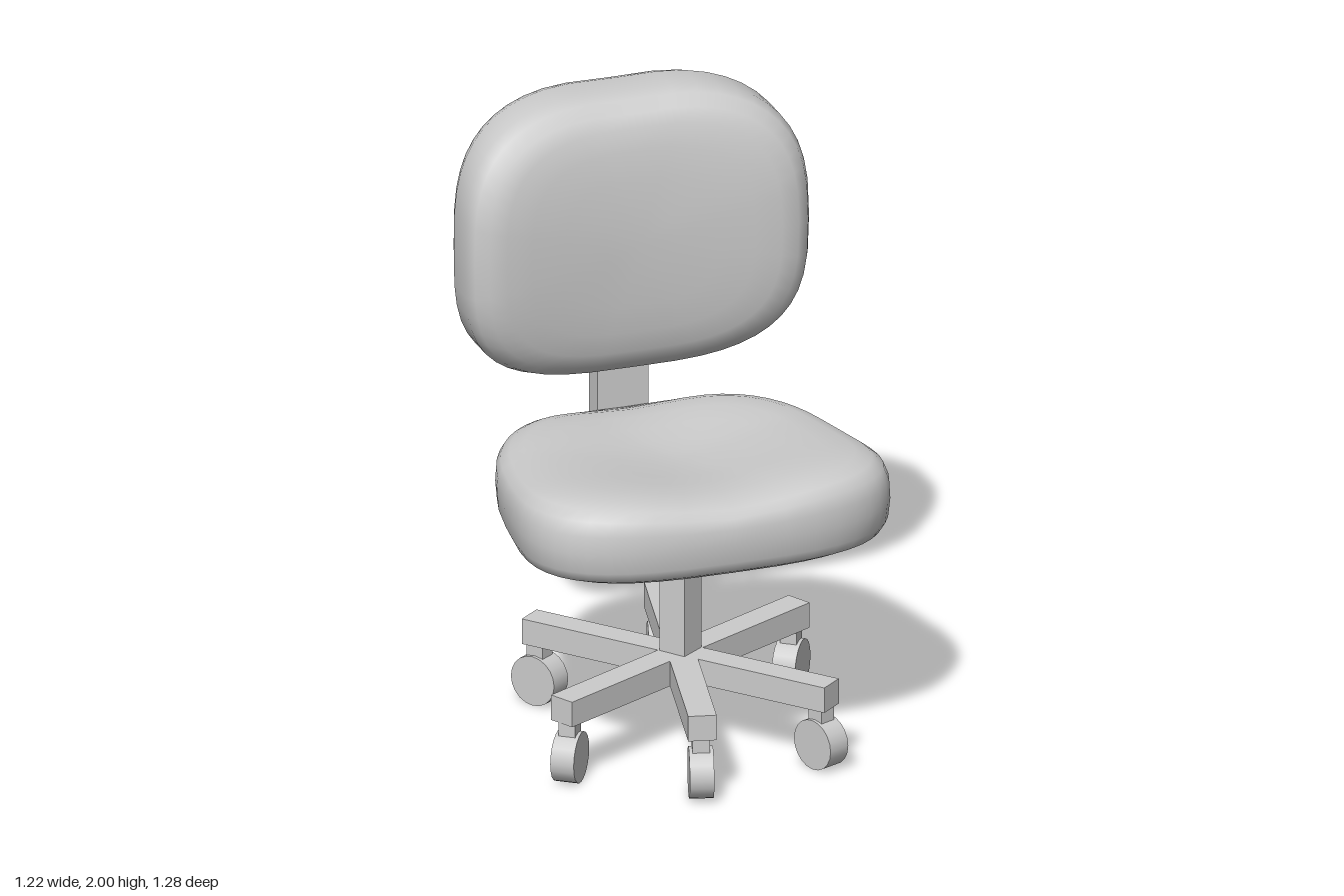
import * as THREE from 'three';

const material = new THREE.MeshStandardMaterial({ color: 0xcccccc });

function part(name, geometry, parent) {
  const mesh = new THREE.Mesh(geometry, material);
  mesh.name = name;
  parent.add(mesh);
  return mesh;
}

// Closed cushion: superellipse rings [scale, depth], capped by a point at each end.
// place(a, b, depth) maps a ring point (a, b in -1..1) to model space.
function cushion(rings, place, sides = 48, power = 3) {
  const pos = [], index = [];
  const curve = v => Math.sign(v) * Math.pow(Math.abs(v), 2 / power);
  for (const [s, d] of rings) {
    for (let j = 0; j < sides; j++) {
      const t = (j / sides) * Math.PI * 2;
      pos.push(...place(s * curve(Math.cos(t)), s * curve(Math.sin(t)), d));
    }
  }
  for (let i = 0; i < rings.length - 1; i++) {
    for (let j = 0; j < sides; j++) {
      const a = i * sides + j, b = i * sides + (j + 1) % sides;
      index.push(a, b, b + sides, a, b + sides, a + sides);
    }
  }
  const first = pos.length / 3, top = (rings.length - 1) * sides;
  pos.push(...place(0, 0, rings[0][1]), ...place(0, 0, rings[rings.length - 1][1]));
  for (let j = 0; j < sides; j++) {
    const k = (j + 1) % sides;
    index.push(first, k, j, first + 1, top + j, top + k);
  }
  const g = new THREE.BufferGeometry();
  g.setAttribute('position', new THREE.Float32BufferAttribute(pos, 3));
  g.setIndex(index);
  g.computeVertexNormals();
  return g;
}

// Seat: tapers to the rear, dished along the middle, underside rising at the back
function seatPoint(a, b, y) {
  const z = 0.055 - 0.527 * b;
  const x = a * (0.62 + 0.165 * (z - 0.25));
  const upper = THREE.MathUtils.smoothstep(y, 0.84, 1);
  const dish = 0.032 * Math.exp(-((x / 0.24) ** 2));
  const rearDrop = 0.036 * (1 - THREE.MathUtils.smoothstep(z, -0.1, 0.45));
  const rise = 0.04 * Math.min(1, Math.max(0, -z / 0.45)) ** 2;
  return [x, y - upper * (dish + rearDrop) + (1 - upper) * rise, z];
}

// Backrest: wraps forward at the sides, leans back at the top and bottom
function backPoint(a, b, d) {
  const bend = b > 0 ? 0.055 : 0.035;
  const x = 0.575 * a;
  const y = 1.531 + 0.471 * b - (b > 0.8 ? 0.01 * Math.exp(-((x / 0.15) ** 2)) : 0);
  return [x, y, -0.45 + 0.06 * a * a - bend * b * b + d];
}

export function createModel() {
  const chair = new THREE.Group();
  chair.name = 'officeChair';

  part('seat', cushion([
    [0.4, 0.73], [0.75, 0.73], [0.9, 0.732], [0.96, 0.75], [0.99, 0.785], [1, 0.85],
    [0.995, 0.91], [0.97, 0.955], [0.92, 0.982], [0.84, 0.998], [0.7, 1.003],
    [0.52, 1], [0.34, 0.995], [0.16, 0.993],
  ], seatPoint), chair);

  part('backrest', cushion([
    [0.2, -0.15], [0.45, -0.15], [0.65, -0.15], [0.8, -0.146], [0.9, -0.13], [0.97, -0.1], [1, -0.055],
    [1, 0.05], [0.97, 0.095], [0.9, 0.128], [0.8, 0.144], [0.65, 0.15], [0.45, 0.152], [0.2, 0.15],
  ], backPoint), chair);

  // Bent bar joining seat and backrest; profile drawn as (-z, y)
  const profile = new THREE.Shape([
    [0.3, 0.78], [0.47, 0.78], [0.52, 0.8], [0.55, 0.865], [0.55, 1.25],
    [0.47, 1.25], [0.47, 0.88], [0.455, 0.86], [0.3, 0.86],
  ].map(p => new THREE.Vector2(...p)));
  const bar = new THREE.ExtrudeGeometry(profile, { depth: 0.17, bevelEnabled: false });
  bar.translate(0, 0, -0.085).rotateY(Math.PI / 2);
  part('backSupport', bar, chair);

  // Column and base share a centre slightly ahead of the middle
  const base = new THREE.Group();
  base.name = 'base';
  base.position.z = 0.06;
  chair.add(base);

  const column = part('column', new THREE.BoxGeometry(0.095, 0.58, 0.095), base);
  column.position.y = 0.5;
  column.rotation.y = THREE.MathUtils.degToRad(36);

  // Each leg: heading from the front, and swivel of its caster's axle, in degrees
  const legs = [[-12.7, 17], [39.4, -24], [117.6, 37], [167.3, 17], [219.4, -35], [297.6, 37]];
  for (const [heading, swivel] of legs) {
    const angle = THREE.MathUtils.degToRad(heading);
    const leg = part('leg', new THREE.BoxGeometry(0.09, 0.085, 0.553).translate(0, 0.2475, 0.2765), base);
    leg.rotation.y = angle;

    const caster = new THREE.Group();
    caster.name = 'caster';
    caster.position.set(Math.sin(angle) * 0.515, 0, Math.cos(angle) * 0.515);
    caster.rotation.y = -THREE.MathUtils.degToRad(swivel);
    base.add(caster);
    part('casterStem', new THREE.BoxGeometry(0.055, 0.09, 0.06).translate(0, 0.17, 0), caster);
    const wheel = new THREE.CylinderGeometry(0.083, 0.083, 0.077, 20);
    part('casterWheel', wheel.rotateZ(Math.PI / 2).translate(0, 0.083, 0), caster);
  }
  return chair;
}
